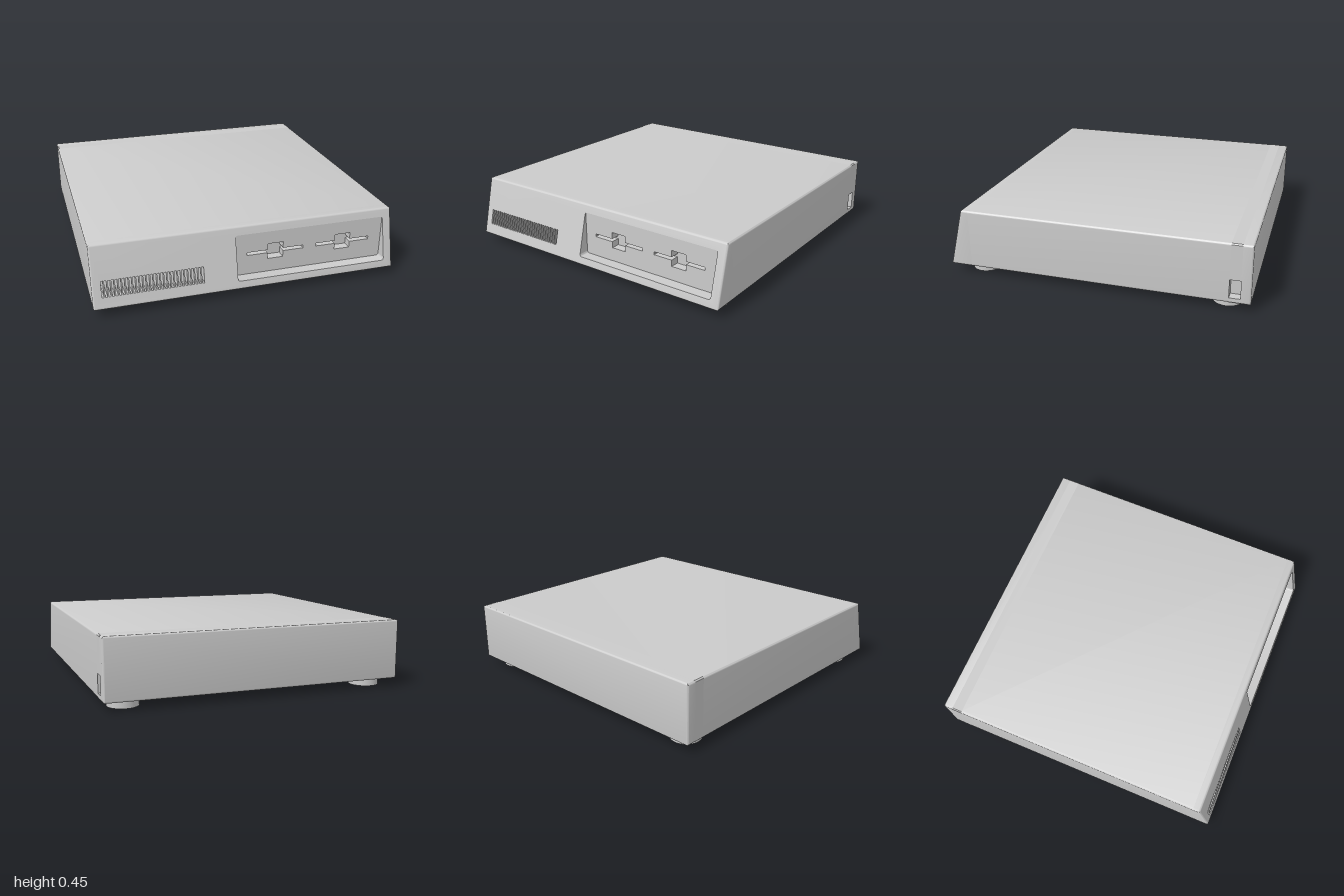
import * as THREE from 'three';
import { toCreasedNormals } from 'three/addons/utils/BufferGeometryUtils.js';

const BOTTOM = 0.055, TOP = 0.45, R = 0.012;
const material = new THREE.MeshStandardMaterial({ color: 0xcccccc });

// Slope of the front face
const frontZ = (y) => 1 - ((y - BOTTOM) / (TOP - BOTTOM)) * 0.1;

function roundedRect(path, x0, x1, y0, y1, r) {
  path.moveTo(x0 + r, y0);
  path.lineTo(x1 - r, y0);
  path.absarc(x1 - r, y0 + r, r, -Math.PI / 2, 0);
  path.lineTo(x1, y1 - r);
  path.absarc(x1 - r, y1 - r, r, 0, Math.PI / 2);
  path.lineTo(x0 + r, y1);
  path.absarc(x0 + r, y1 - r, r, Math.PI / 2, Math.PI);
  path.lineTo(x0, y0 + r);
  path.absarc(x0 + r, y0 + r, r, Math.PI, Math.PI * 1.5);
  return path;
}

const outline = () => roundedRect(new THREE.Shape(), -1, 1, BOTTOM, TOP, 0.015);

function polygon(points, Type = THREE.Path) {
  return new Type(points.map(([x, y]) => new THREE.Vector2(x, y)));
}

// Slab between two depths; the optional rule moves each vertex by its ring
function slab(name, shape, z0, z1, steps = 1, rule) {
  const depth = z1 - z0;
  const geo = new THREE.ExtrudeGeometry(shape, { depth, steps, bevelEnabled: false, curveSegments: 5 });
  geo.translate(0, 0, z0);
  if (rule) {
    const p = geo.attributes.position;
    const v = new THREE.Vector3();
    for (let i = 0; i < p.count; i++) {
      v.fromBufferAttribute(p, i);
      rule(v, Math.round(((v.z - z0) / depth) * steps));
      p.setXYZ(i, v.x, v.y, v.z);
    }
  }
  const mesh = new THREE.Mesh(toCreasedNormals(geo, 0.6), material);
  mesh.name = name;
  return mesh;
}

// Pull the outer edge inwards
function inset(v, d) {
  v.x = THREE.MathUtils.clamp(v.x, -1 + d, 1 - d);
  v.y = THREE.MathUtils.clamp(v.y, BOTTOM + d, TOP - d);
}

// Disk slot: a thin slit with a square finger opening in its middle
function diskSlot(x0, x1) {
  const c = (x0 + x1) / 2, h = 0.053;
  return polygon([
    [x0, 0.241], [c - h, 0.241], [c - h, 0.199], [c + h, 0.199], [c + h, 0.241], [x1, 0.241],
    [x1, 0.261], [c + h, 0.261], [c + h, 0.305], [c - h, 0.305], [c - h, 0.261], [x0, 0.261],
  ]);
}

export function createModel() {
  const model = new THREE.Group();
  model.name = 'desktopComputer';

  // Sloped front with vent slits and an opening for the drives
  const front = outline();
  for (let i = 0; i < 30; i++) {
    const x = -0.942 + i * 0.0217;
    front.holes.push(polygon([[x, 0.13], [x + 0.013, 0.13], [x + 0.013, 0.23], [x, 0.23]]));
  }
  front.holes.push(roundedRect(new THREE.Path(), -0.08, 0.94, 0.107, 0.394, 0.015));
  model.add(slab('frontPanel', front, 0.85, 1, 5, (v, ring) => {
    if (ring === 0) return;
    const a = ((ring - 1) / 4) * (Math.PI / 2);
    inset(v, R * (1 - Math.cos(a)));
    v.z = frontZ(v.y) - R * (1 - Math.sin(a));
  }));

  // Upright drive panel at the back of the opening
  const drives = roundedRect(new THREE.Shape(), -0.08, 0.94, 0.107, 0.394, 0.015);
  drives.holes.push(diskSlot(0.0, 0.385), diskSlot(0.475, 0.85));
  model.add(slab('drivePanel', drives, 0.85, 0.91));

  // Main case
  model.add(slab('case', outline(), -0.865, 0.85));

  // Case section with the switch recess in its left side
  const notched = polygon([
    [-1, BOTTOM + 0.008], [-0.992, BOTTOM], [0.992, BOTTOM], [1, BOTTOM + 0.008], [1, 0.09], [0.94, 0.09],
    [0.94, 0.212], [1, 0.212], [1, TOP - 0.008], [0.992, TOP], [-0.992, TOP], [-1, TOP - 0.008],
  ], THREE.Shape);
  model.add(slab('switchRecess', notched, -0.935, -0.865));

  // Rear of the case with a softened edge
  model.add(slab('rearPanel', outline(), -1, -0.935, 5, (v, ring) => {
    if (ring === 5) return;
    const a = (ring / 4) * (Math.PI / 2);
    inset(v, R * (1 - Math.sin(a)));
    v.z = -1 + R * (1 - Math.cos(a));
  }));

  // Four round feet
  for (const x of [-0.845, 0.845]) {
    for (const z of [0.81, -0.84]) {
      const foot = new THREE.Mesh(new THREE.CylinderGeometry(0.1, 0.1, 0.06, 40), material);
      foot.position.set(x, 0.03, z);
      foot.name = 'foot';
      model.add(foot);
    }
  }
  return model;
}
